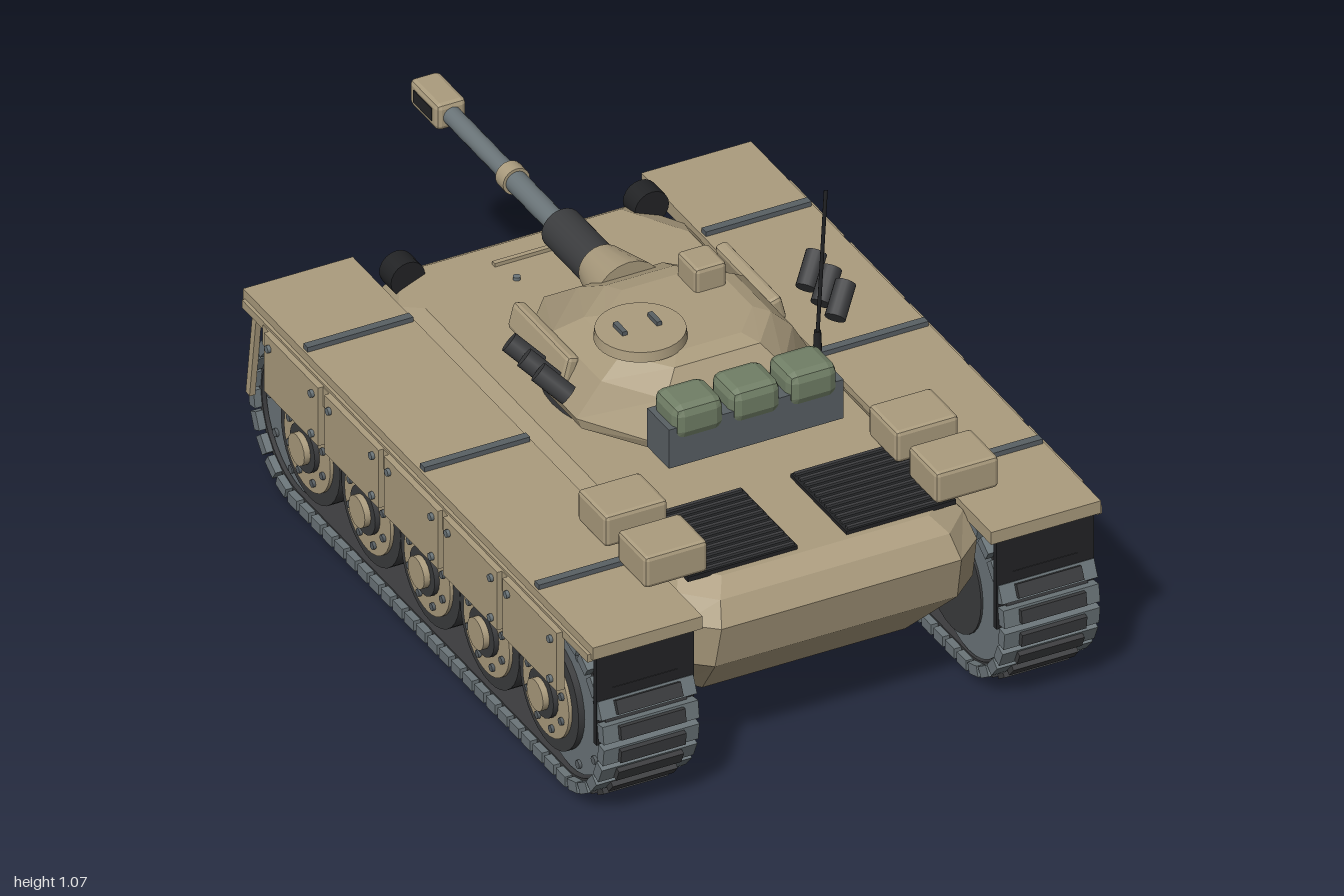
import * as THREE from 'three';
import { mergeGeometries } from 'three/addons/utils/BufferGeometryUtils.js';
import { RoundedBoxGeometry } from 'three/addons/geometries/RoundedBoxGeometry.js';

const mat = (name, color) => {
  const m = new THREE.MeshStandardMaterial({ color });
  m.name = name;
  return m;
};

export function createModel() {
  const tan = mat('sand paint', 0xab9c7e), steel = mat('steel grey', 0x6b7579), rubber = mat('dark rubber', 0x3b3c3e);
  const black = mat('black', 0x222325), green = mat('canvas green', 0x717f66), slate = mat('rack grey', 0x596064);
  const model = new THREE.Group();
  model.name = 'tank';

  const add = (name, geo, material, x = 0, y = 0, z = 0, parent = model) => {
    const m = new THREE.Mesh(geo, material);
    m.name = name;
    m.position.set(x, y, z);
    parent.add(m);
    return m;
  };
  const box = (w, h, d) => new THREE.BoxGeometry(w, h, d);
  const bevel = (w, h, d, r) => {
    const g = new RoundedBoxGeometry(w, h, d, 1, r);
    g.computeVertexNormals();
    return g;
  };
  const cylX = (r, len, n = 24) => new THREE.CylinderGeometry(r, r, len, n).rotateZ(-Math.PI / 2);
  const cylZ = (rBack, rFront, len, n = 20) => new THREE.CylinderGeometry(rBack, rFront, len, n).rotateX(Math.PI / 2);

  // Chamfered outline at one height: front (-z) and rear (+z) corners are cut separately
  const ring = ([y, hx, z0, z1, fx, fz, rx, rz]) => {
    const half = [[hx - fx, z0], [hx, z0 + fz], [hx, z1 - rz], [hx - rx, z1]];
    return [...half, ...half.slice().reverse().map(([x, z]) => [-x, z])].map(([x, z]) => new THREE.Vector3(x, y, z));
  };
  // Faceted solid from stacked outlines, bottom to top
  const loft = (levels) => {
    const rings = levels.map(ring), n = rings[0].length, pts = [];
    for (let k = 0; k + 1 < rings.length; k++) {
      for (let i = 0; i < n; i++) {
        const j = (i + 1) % n, a = rings[k], b = rings[k + 1];
        pts.push(a[i], b[i], a[j], a[j], b[i], b[j]);
      }
    }
    const bottom = rings[0], top = rings[rings.length - 1];
    for (let i = 1; i + 1 < n; i++) pts.push(bottom[0], bottom[i], bottom[i + 1], top[0], top[i + 1], top[i]);
    const g = new THREE.BufferGeometry().setFromPoints(pts);
    g.computeVertexNormals();
    return g;
  };

  // Hull
  add('hull', loft([
    [0.135, 0.28, -0.44, 0.76, 0.04, 0.06, 0.03, 0.04],
    [0.29, 0.368, -0.585, 0.91, 0.05, 0.07, 0.07, 0.06],
    [0.40, 0.365, -0.605, 0.935, 0.04, 0.06, 0.07, 0.06],
    [0.455, 0.352, -0.575, 0.905, 0.07, 0.12, 0.07, 0.07],
    [0.485, 0.325, -0.53, 0.86, 0.09, 0.15, 0.07, 0.07],
  ]), tan);
  add('frontDeckBar', box(0.23, 0.012, 0.012), tan, 0, 0.488, -0.46);

  // Track path: a stadium in the z-y plane, measured by arc length
  const zA = 0.78, zB = -0.46, yC = 0.215, R = 0.19, run = zA - zB, count = 68;
  const loopLength = 2 * run + 2 * Math.PI * R;
  const trackPoint = (s) => {
    if (s < run) return { z: zB + s, y: yC - R, a: 0 };
    s -= run;
    if (s < Math.PI * R) return { z: zA + R * Math.sin(s / R), y: yC - R * Math.cos(s / R), a: s / R };
    s -= Math.PI * R;
    if (s < run) return { z: zA - s, y: yC + R, a: Math.PI };
    const a = Math.PI + (s - run) / R;
    return { z: zB + R * Math.sin(a), y: yC - R * Math.cos(a), a };
  };
  const alongTrack = (make) => mergeGeometries(Array.from({ length: count }, (_, i) => {
    const p = trackPoint(i / count * loopLength);
    return make().rotateX(-p.a).translate(0, p.y, p.z);
  }));
  const stadium = (Shape, r) => {
    const s = new Shape();
    s.absarc(zA, yC, r, -Math.PI / 2, Math.PI / 2, false);
    s.absarc(zB, yC, r, Math.PI / 2, Math.PI * 1.5, false);
    s.closePath();
    return s;
  };
  const bandShape = stadium(THREE.Shape, 0.186);
  bandShape.holes.push(stadium(THREE.Path, 0.173));
  const bandGeo = new THREE.ExtrudeGeometry(bandShape, { depth: 0.2, bevelEnabled: false, curveSegments: 16 })
    .translate(0, 0, -0.1).rotateY(-Math.PI / 2);
  const shoeGeo = alongTrack(() => box(0.235, 0.026, 0.043));
  const padGeo = alongTrack(() => box(0.16, 0.014, 0.032).translate(0, -0.018, 0));

  const wheelZ = [0.71, 0.435, 0.16, -0.115, -0.395];
  for (const s of [1, -1]) {
    const side = new THREE.Group();
    side.name = s > 0 ? 'leftRunningGear' : 'rightRunningGear';
    model.add(side);
    const part = (name, geo, m, x, y, z) => add(name, geo, m, s * x, y, z, side);

    part('trackBand', bandGeo, rubber, 0.493, 0, 0);
    part('trackShoes', shoeGeo, steel, 0.493, 0, 0);
    part('trackPads', padGeo, rubber, 0.493, 0, 0);
    for (const z of [zA, zB]) {
      part('endWheel', cylX(0.168, 0.19, 32), steel, 0.49, yC, z);
      for (let i = 0; i < 10; i++) {
        const a = i * Math.PI / 5;
        part('endWheelBolt', cylX(0.01, 0.01, 8), slate, 0.587, yC + 0.145 * Math.sin(a), z + 0.145 * Math.cos(a));
      }
    }
    for (const z of wheelZ) {
      part('wheelTyre', cylX(0.137, 0.21, 32), rubber, 0.495, 0.205, z);
      part('wheelDisc', cylX(0.107, 0.016, 32), tan, 0.6, 0.205, z);
      part('wheelHubRing', cylX(0.058, 0.024, 20), rubber, 0.608, 0.205, z);
      part('wheelHubCap', cylX(0.038, 0.044, 16), tan, 0.613, 0.205, z);
      for (let i = 0; i < 8; i++) {
        const a = (i + 0.5) * Math.PI / 4;
        part('wheelBolt', cylX(0.009, 0.01, 8), slate, 0.61, 0.205 + 0.083 * Math.sin(a), z + 0.083 * Math.cos(a));
      }
      // Skirt panel over each road wheel
      part('skirtPanel', box(0.02, 0.15, 0.25), tan, 0.638, 0.365, z);
      part('skirtJoint', box(0.012, 0.05, 0.03), tan, 0.63, 0.415, z - 0.138);
      for (const dz of [-0.1, 0.1]) part('skirtBolt', cylX(0.009, 0.012, 8), steel, 0.65, 0.413, z + dz);
      part('skirtBolt', cylX(0.009, 0.012, 8), steel, 0.65, 0.31, z + 0.1);
    }

    // Fender, straps, rear mud flap and front strut
    part('fender', box(0.27, 0.032, 1.62), tan, 0.49, 0.451, 0.15);
    part('fenderLip', box(0.012, 0.02, 1.6), tan, 0.627, 0.436, 0.15);
    for (const z of [-0.38, 0.16, 0.69]) part('fenderStrap', box(0.26, 0.014, 0.02), slate, 0.49, 0.472, z);
    part('mudFlap', box(0.24, 0.23, 0.014), black, 0.492, 0.32, 0.945);
    part('fenderStrut', box(0.014, 0.24, 0.018), tan, 0.618, 0.325, -0.622).rotation.x = 0.14;

    // Headlight, tow lug and deck bolt
    part('headlight', cylZ(0.042, 0.042, 0.055), black, 0.3, 0.48, -0.535);
    part('headlightMount', box(0.03, 0.06, 0.03), rubber, 0.3, 0.43, -0.535);
    part('towLug', cylZ(0.026, 0.026, 0.09, 16), steel, 0.255, 0.3, -0.62);
    part('deckBolt', new THREE.CylinderGeometry(0.009, 0.009, 0.01, 8), steel, 0.095, 0.488, -0.39);

    // Engine grille and stowage boxes
    part('engineGrille', box(0.27, 0.012, 0.26), black, 0.195, 0.488, 0.715);
    for (let i = 0; i < 11; i++) part('grilleSlat', box(0.26, 0.008, 0.009), rubber, 0.195, 0.496, 0.595 + i * 0.024);
    for (const z of [0.595, 0.78]) part('stowageBox', bevel(0.155, 0.08, 0.132, 0.01), tan, 0.358, 0.534, z);

    // Turret side bin and smoke launchers
    part('turretSideBin', bevel(0.032, 0.065, 0.26, 0.01), tan, 0.255, 0.615, 0.035).rotation.z = s * 0.25;
    const aim = new THREE.Vector3(s * 0.055, 0.055, -0.05).normalize();
    for (const z of [0.13, 0.2, 0.265]) {
      part('smokeLauncher', new THREE.CylinderGeometry(0.024, 0.024, 0.085, 14), rubber, 0.353, 0.67, z)
        .quaternion.setFromUnitVectors(new THREE.Vector3(0, 1, 0), aim);
    }
  }

  // Turret
  add('turretRing', new THREE.CylinderGeometry(0.26, 0.26, 0.05, 40), rubber, 0, 0.505, 0.085);
  add('turret', loft([
    [0.525, 0.278, -0.205, 0.415, 0.16, 0.19, 0.11, 0.16],
    [0.55, 0.288, -0.212, 0.42, 0.165, 0.19, 0.11, 0.17],
    [0.64, 0.235, -0.09, 0.395, 0.13, 0.13, 0.09, 0.13],
    [0.69, 0.185, 0.0, 0.36, 0.1, 0.09, 0.08, 0.1],
    [0.702, 0.15, 0.05, 0.32, 0.08, 0.07, 0.07, 0.08],
  ]), tan);
  const hatch = add('hatch', new THREE.CylinderGeometry(0.1, 0.103, 0.024, 32), tan, -0.12, 0.712, 0.23);
  for (const x of [-0.045, 0.04]) add('hatchHandle', box(0.012, 0.012, 0.045), slate, x, 0.016, -0.01, hatch);
  add('sightBox', bevel(0.078, 0.07, 0.09, 0.01), tan, 0.104, 0.725, 0.092);

  // Gun
  const gunY = 0.605;
  add('mantlet', cylZ(0.085, 0.055, 0.13), tan, 0, gunY + 0.005, -0.115);
  add('gunSleeve', cylZ(0.05, 0.05, 0.19, 24), rubber, 0, gunY, -0.265);
  add('barrelRear', cylZ(0.026, 0.026, 0.24), steel, 0, gunY, -0.47);
  add('barrelRing', cylZ(0.033, 0.033, 0.036), tan, 0, gunY, -0.588);
  add('barrelFront', cylZ(0.022, 0.022, 0.3), steel, 0, gunY, -0.73);
  add('muzzleBrake', bevel(0.074, 0.066, 0.132, 0.012), tan, 0, gunY, -0.933);
  for (const s of [1, -1]) add('muzzleSlot', box(0.006, 0.032, 0.085), black, s * 0.036, gunY, -0.933);
  add('muzzleBore', cylZ(0.02, 0.02, 0.004), black, 0, gunY, -0.998);

  // Rear rack with canvas bags
  add('rack', box(0.43, 0.1, 0.1), slate, 0, 0.615, 0.49);
  for (const x of [-0.14, 0, 0.14]) add('canvasBag', bevel(0.122, 0.083, 0.112, 0.022), green, x, 0.672, 0.492);

  // Antenna
  const whip = new THREE.LineCurve3(new THREE.Vector3(0.23, 0.66, 0.388), new THREE.Vector3(0.244, 1.07, 0.403));
  add('antenna', new THREE.TubeGeometry(whip, 1, 0.0045, 8), black);
  add('antennaBase', new THREE.CylinderGeometry(0.008, 0.01, 0.05, 10), black, 0.231, 0.675, 0.389);

  return model;
}
